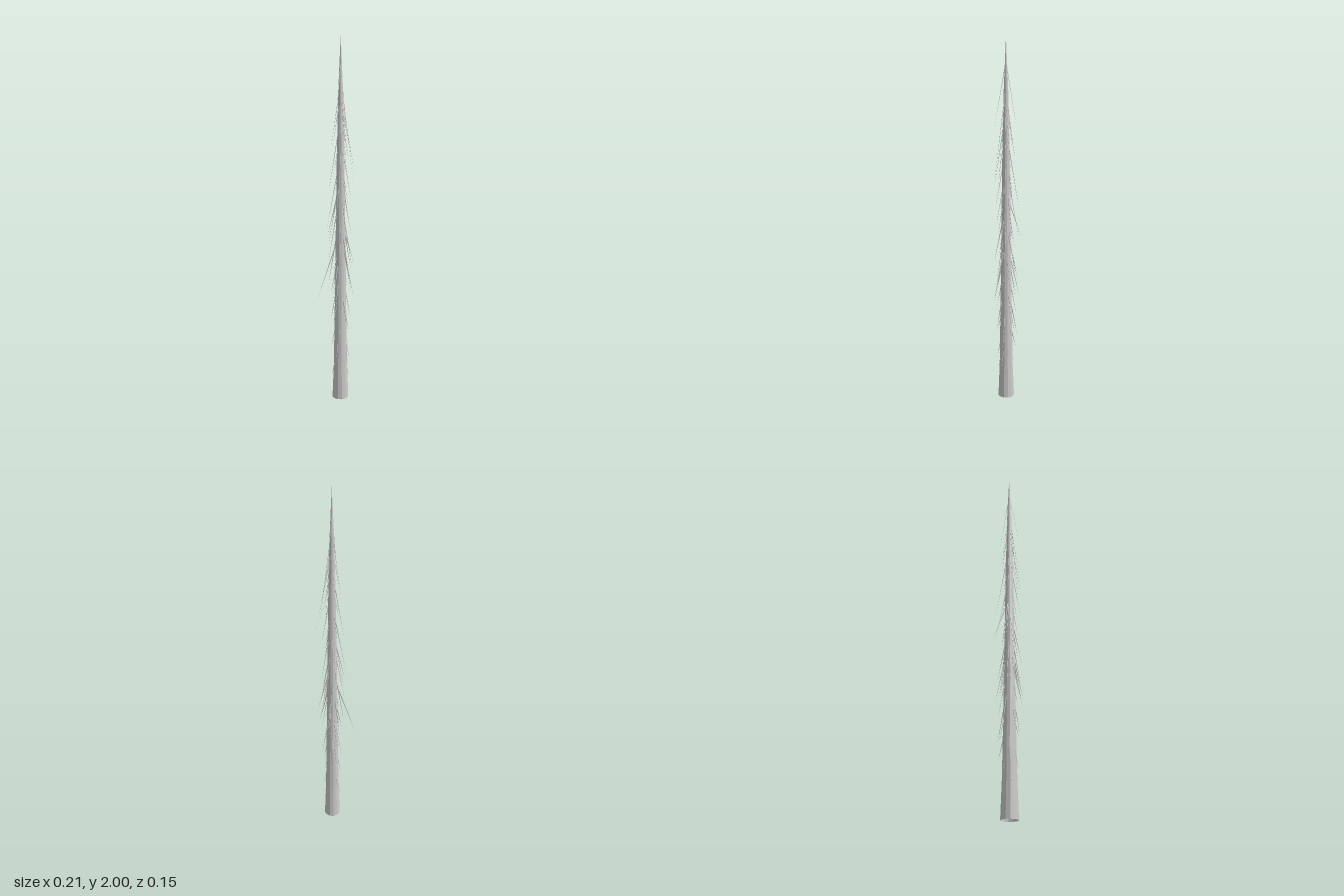
import * as THREE from 'three';

const AXIS_X = 0.014;
const material = new THREE.MeshStandardMaterial({ color: 0xcccccc, flatShading: true });
const trunkMaterial = new THREE.MeshStandardMaterial({ color: 0xcccccc, flatShading: true, side: THREE.DoubleSide });

// Small seeded generator for the natural variation of the branches
function seeded(seed) {
  return () => {
    seed = (seed * 16807) % 2147483647;
    return seed / 2147483647;
  };
}

// Thin drooping spike from the trunk axis to its tip
function makeBranch(rootY, tip, radius) {
  const root = new THREE.Vector3(AXIS_X, rootY, 0);
  const dir = tip.clone().sub(root);
  const length = dir.length();
  const geometry = new THREE.ConeGeometry(radius, length, 4, 1);
  geometry.translate(0, length / 2, 0);
  const branch = new THREE.Mesh(geometry, material);
  branch.name = 'branch';
  branch.position.copy(root);
  branch.quaternion.setFromUnitVectors(new THREE.Vector3(0, 1, 0), dir.normalize());
  return branch;
}

export function createModel() {
  const tree = new THREE.Group();
  tree.name = 'bareConifer';

  // Tapering trunk with a flared, open foot
  const profile = [[0.046, 0], [0.038, 0.2], [0.0345, 0.4], [0.0315, 0.6], [0.026, 1], [0.02, 1.4], [0.0115, 1.75], [0, 2]]
    .map(([r, y]) => new THREE.Vector2(r, y));
  const trunk = new THREE.Mesh(new THREE.LatheGeometry(profile, 12), trunkMaterial);
  trunk.name = 'trunk';
  trunk.position.x = AXIS_X;
  tree.add(trunk);

  const branches = new THREE.Group();
  branches.name = 'branches';
  tree.add(branches);

  // Spiral of drooping branches, thinner and longer towards the top
  const random = seeded(71);
  const count = 60;
  for (let i = 0; i < count; i++) {
    const t = i / (count - 1);
    const rootY = 0.36 + 1.42 * t;
    const angle = i * 2.39996 + (random() - 0.5) * 0.5;
    const reach = 0.042 + (0.012 + 0.022 * Math.min(1, 2 * t)) * random();
    const drop = reach * (3.9 + 1.4 * t + 1.6 * random());
    const tip = new THREE.Vector3(AXIS_X + Math.cos(angle) * reach, rootY - drop, Math.sin(angle) * reach);
    branches.add(makeBranch(rootY, tip, 0.008 - 0.006 * t));
  }

  // Longest branches, standing clear of the rest
  const longBranches = [
    [0.98, -0.107, 0.575, 0.062, 0.005],
    [0.96, 0.107, 0.62, 0.04, 0.005],
    [1.8, 0.095, 1.23, 0.018, 0.002],
    [1.72, 0.083, 1.25, -0.05, 0.002],
    [1.15, 0.078, 0.86, 0.02, 0.005],
    [1.2, -0.042, 0.93, -0.075, 0.005],
    [1.25, -0.055, 0.95, 0.015, 0.005],
    [1.05, 0.07, 0.78, -0.07, 0.005],
    [0.95, 0.005, 0.6, -0.078, 0.005],
    [0.9, -0.005, 0.59, 0.07, 0.006],
    [1.88, 0.01, 1.54, 0.065, 0.002],
    [1.88, 0.02, 1.53, -0.062, 0.002],
    [0.45, 0.068, 0.18, 0.01, 0.007],
  ];
  for (const [rootY, x, y, z, radius] of longBranches) {
    branches.add(makeBranch(rootY, new THREE.Vector3(x, y, z), radius));
  }

  return tree;
}
